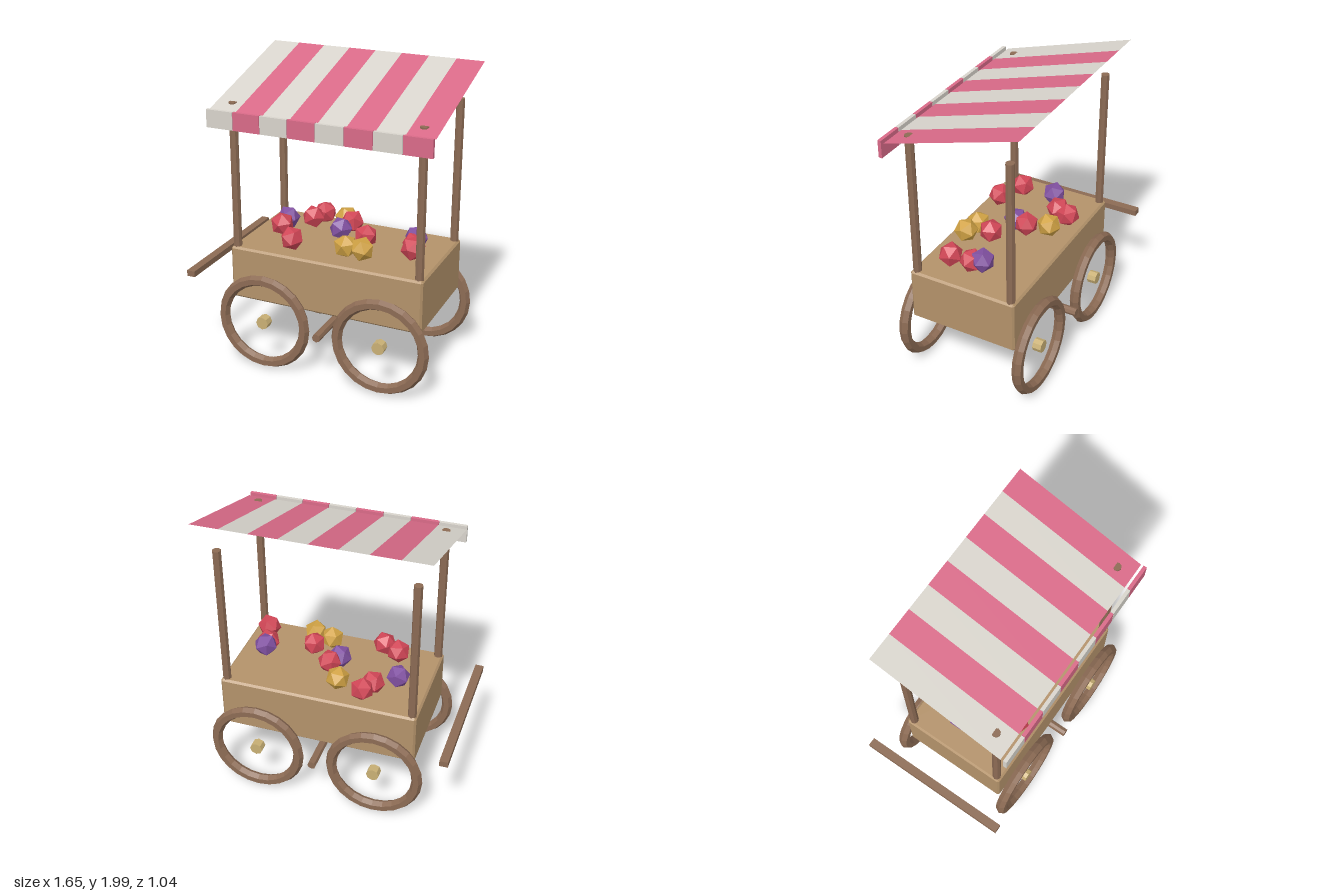
import * as THREE from 'three';
import { ConvexGeometry } from 'three/addons/geometries/ConvexGeometry.js';

const paint = (name, color, side = THREE.FrontSide) =>
  new THREE.MeshStandardMaterial({ name, color, side, flatShading: true });

// Box with all edges chamfered by b
function chamferBox(w, h, d, b) {
  const points = [];
  for (const sx of [-1, 1]) for (const sy of [-1, 1]) for (const sz of [-1, 1]) {
    const x = w / 2, y = h / 2, z = d / 2;
    for (const [px, py, pz] of [[x, y - b, z - b], [x - b, y, z - b], [x - b, y - b, z]]) {
      points.push(new THREE.Vector3(sx * px, sy * py, sz * pz));
    }
  }
  return new ConvexGeometry(points);
}

export function createModel() {
  const model = new THREE.Group();
  model.name = 'marketCart';

  const darkWood = paint('dark wood', 0x8c6b54);
  const lightWood = paint('light wood', 0xb3926a);
  const brass = paint('brass', 0xc9b075);
  const cream = paint('cream cloth', 0xd8d4cc, THREE.DoubleSide);
  const pink = paint('pink cloth', 0xd96a88, THREE.DoubleSide);
  const red = paint('red fruit', 0xd04656);
  const purple = paint('purple fruit', 0x8050a0);
  const yellow = paint('yellow fruit', 0xd0a244);

  const add = (name, geometry, material, x, y, z) => {
    const mesh = new THREE.Mesh(geometry, material);
    mesh.name = name;
    mesh.position.set(x, y, z);
    model.add(mesh);
    return mesh;
  };

  const midX = 0.087;

  // Cart body and push handle
  add('cartBody', chamferBox(1.328, 0.36, 0.74, 0.013), lightWood, midX, 0.632, 0);
  add('pushHandle', new THREE.BoxGeometry(0.056, 0.04, 1.038), darkWood, -0.8, 0.633, 0);

  // Axle beneath the body
  const axleGeo = new THREE.CylinderGeometry(0.028, 0.028, 0.962, 8).rotateX(Math.PI / 2);
  add('axle', axleGeo, darkWood, midX, 0.335, 0);

  // Four wheels with hubs
  const rimGeo = new THREE.TorusGeometry(0.293, 0.0365, 6, 24);
  const hubGeo = new THREE.CylinderGeometry(0.043, 0.043, 0.06, 8).rotateX(Math.PI / 2);
  for (const x of [midX - 0.408, midX + 0.408]) for (const z of [-0.415, 0.415]) {
    add('wheelRim', rimGeo, darkWood, x, 0.335, z);
    add('wheelHub', hubGeo, brass, x, 0.335, z);
  }

  // Four posts
  const postGeo = new THREE.CylinderGeometry(0.028, 0.028, 0.98, 8);
  for (const x of [midX - 0.63, midX + 0.63]) for (const z of [-0.333, 0.333]) {
    add('post', postGeo, darkWood, x, 1.29, z);
  }

  // Striped sloping canopy with a hanging valance
  const stripes = 8, width = 1.477 / stripes;
  const rise = 0.254, run = 0.887;
  const clothGeo = new THREE.PlaneGeometry(width, Math.hypot(rise, run))
    .rotateX(-Math.PI / 2 + Math.atan2(rise, run));
  const valanceGeo = new THREE.BoxGeometry(width - 0.003, 0.115, 0.023);
  for (let i = 0; i < stripes; i++) {
    const x = midX + (i - (stripes - 1) / 2) * width;
    const cloth = i % 2 ? pink : cream;
    add('canopyStripe', clothGeo, cloth, x, 1.873, -0.0045);
    add('valanceFlap', valanceGeo, cloth, x, 1.7, 0.468);
  }

  // Faceted fruit scattered on the top
  const fruitGeo = new THREE.IcosahedronGeometry(0.08, 0);
  const fruits = [
    [purple, -0.375, 0.89, -0.07], [red, -0.315, 0.93, 0.14], [red, -0.19, 0.89, 0.25],
    [red, -0.235, 0.88, -0.17], [red, -0.19, 0.885, -0.265], [yellow, -0.01, 0.895, -0.215],
    [red, 0.085, 0.925, -0.1], [purple, 0.045, 0.905, 0], [red, 0.25, 0.915, 0.07],
    [yellow, 0.17, 0.885, 0.21], [yellow, 0.295, 0.895, 0.23], [purple, 0.555, 0.915, -0.045],
    [red, 0.565, 0.895, 0.03], [red, 0.605, 0.925, 0.155],
  ];
  fruits.forEach(([material, x, y, z], i) => {
    add('fruit', fruitGeo, material, x, y, z).rotation.set(i * 1.3, i * 2.1, i * 0.7);
  });

  return model;
}
